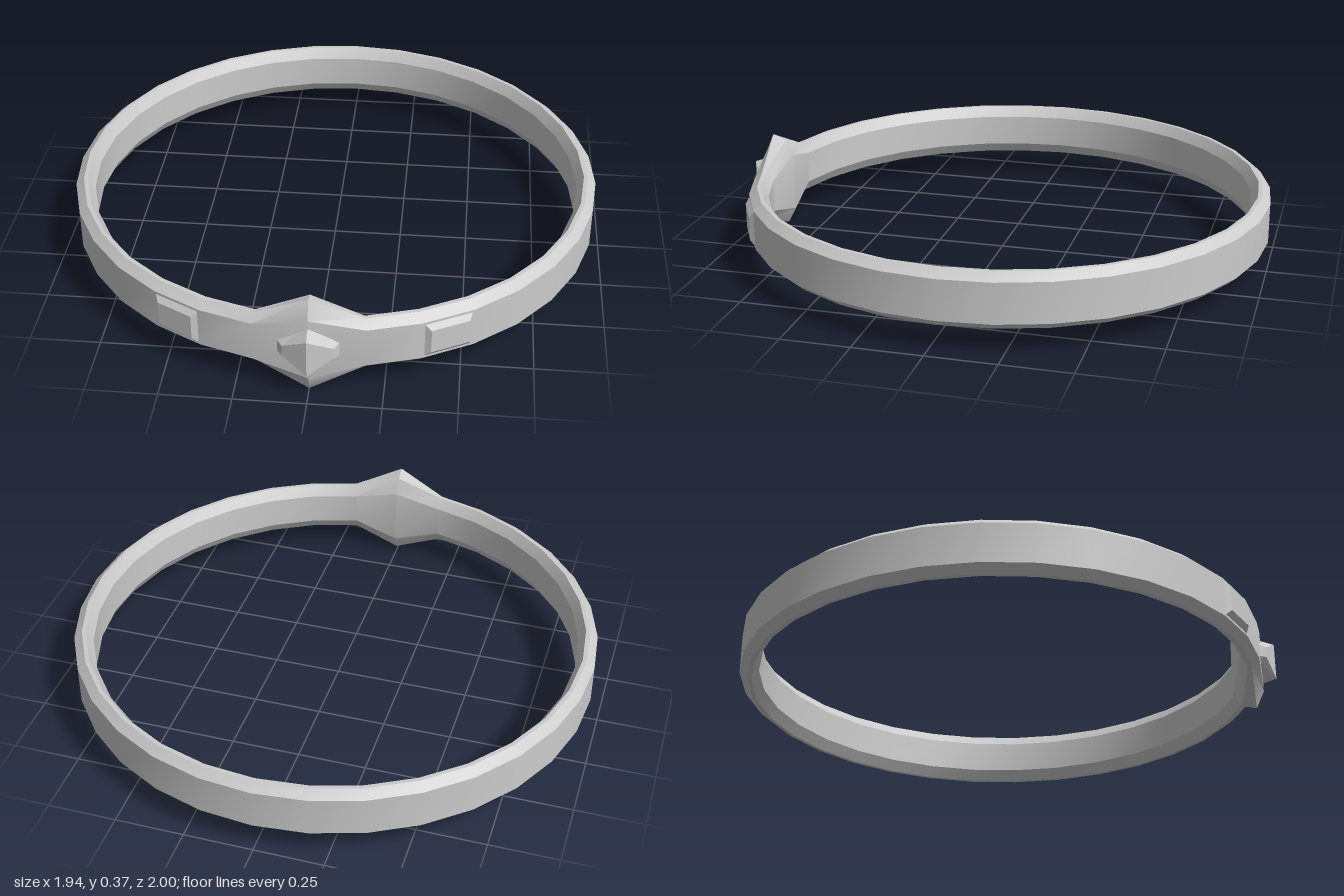
import * as THREE from 'three';
import { toCreasedNormals } from 'three/addons/utils/BufferGeometryUtils.js';

const CY = 0.187, CZ = -0.03, SEGMENTS = 32;

function makeGeometry(points, index) {
  const g = new THREE.BufferGeometry();
  g.setAttribute('position', new THREE.Float32BufferAttribute(points, 3));
  g.setIndex(index);
  return g;
}

// Mirrors the upper half of a [radius, height] section into a closed loop
const section = (upper) => [...upper, ...upper.map(([r, y]) => [r, -y]).reverse()];

function bandGeometry() {
  const plain = section([[0.97, 0.073], [0.94, 0.1], [0.925, 0.1], [0.9, 0.06]]);
  const peak = section([[0.98, 0.12], [0.95, 0.187], [0.9, 0.168], [0.87, 0.11]]);
  const n = plain.length, points = [], index = [];
  for (let i = 0; i < SEGMENTS; i++) {
    const a = (i / SEGMENTS) * Math.PI * 2;
    for (const [r, y] of i === 0 ? peak : plain) points.push(r * Math.sin(a), y, r * Math.cos(a));
    for (let j = 0; j < n; j++) {
      const i2 = ((i + 1) % SEGMENTS) * n, j2 = (j + 1) % n;
      const A = i * n + j, B = i2 + j, C = i2 + j2, D = i * n + j2;
      index.push(A, B, C, A, C, D);
    }
  }
  return toCreasedNormals(makeGeometry(points, index), 0.5);
}

// Joins a base outline to a front outline and closes the front
function gemGeometry(base, front) {
  const n = base.length, index = [];
  for (let j = 0; j < n; j++) {
    const k = (j + 1) % n;
    index.push(j, k, n + k, j, n + k, n + j);
  }
  for (let j = 1; j < n - 1; j++) index.push(n, n + j, n + j + 1);
  return makeGeometry([...base, ...front].flat(), index);
}

// Hexagon whose top and bottom points form a vertical ridge
const hexagon = (w, side, h, zSide, zRidge) => [
  [0, -h, zRidge], [w, -side, zSide], [w, side, zSide],
  [0, h, zRidge], [-w, side, zSide], [-w, -side, zSide],
];
const rectangle = (w, h, z) => [[-w, -h, z], [w, -h, z], [w, h, z], [-w, h, z]];

export function createModel() {
  const group = new THREE.Group();
  const smooth = new THREE.MeshStandardMaterial({ color: 0xcccccc });
  const faceted = new THREE.MeshStandardMaterial({ color: 0xcccccc, flatShading: true });
  const add = (name, geometry, material) => {
    const mesh = new THREE.Mesh(geometry, material);
    mesh.name = name;
    mesh.position.set(0, CY, CZ);
    group.add(mesh);
    return mesh;
  };

  // Circlet band with a pointed front
  add('band', bandGeometry(), smooth);

  // Central ridged stone
  add('centreGem', gemGeometry(
    hexagon(0.12, 0.027, 0.093, 0.94, 0.965),
    hexagon(0.085, 0.02, 0.07, 0.99, 1.03),
  ), faceted);

  // Bevelled rectangular stones, each on one facet of the band
  const facet = 0.97 * Math.cos(Math.PI / SEGMENTS);
  const sideGem = gemGeometry(
    rectangle(0.092, 0.07, facet - 0.005),
    rectangle(0.07, 0.045, facet + 0.016),
  );
  for (const [name, s] of [['leftGem', 1], ['rightGem', -1]]) {
    add(name, sideGem, faceted).rotation.y = s * 2.5 * (Math.PI * 2 / SEGMENTS);
  }
  return group;
}
